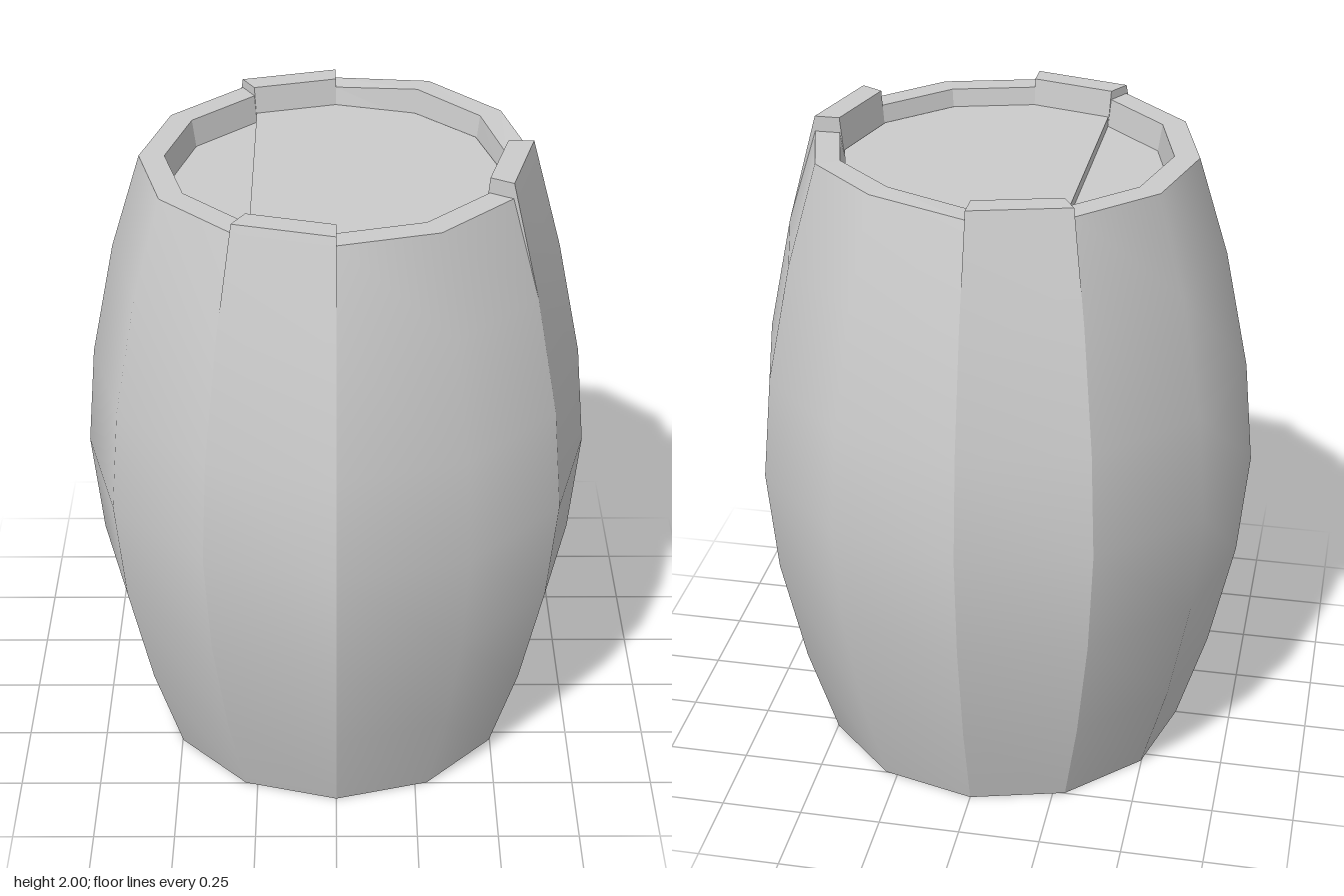
import * as THREE from 'three';

const material = new THREE.MeshStandardMaterial({ color: 0xcccccc, side: THREE.DoubleSide });
const flatMaterial = new THREE.MeshStandardMaterial({ color: 0xcccccc, side: THREE.DoubleSide, flatShading: true });
const R_IN = 0.5, R_LID = 0.487, RIM = 0.575;
const LID_TOP = 1.9, LID_LOW = 1.87, BASE = 0.05;

// bulging side, from the bottom edge to just under the top edge
const BULGE = [[RIM, 0], [0.667, 0.3], [0.742, 0.65], [0.772, 0.98], [0.742, 1.3], [0.667, 1.66]];

// groups of staves: start angle and the top height at each 30 degree step
const STAVES = [
  { start: 0, tops: [2, 2] },
  { start: 30, tops: [1.953, 1.953, 1.953] },
  { start: 90, tops: [1.98, 1.98] },
  { start: 120, tops: [1.953, 1.953, 1.953, 1.953, 1.953] },
  { start: 240, tops: [1.98, 1.98] },
  { start: 270, tops: [1.953, 1.974, 1.967, 1.953] },
];

const polar = (r, y, degrees) => {
  const a = THREE.MathUtils.degToRad(degrees);
  return [r * Math.cos(a), y, r * Math.sin(a)];
};

// surface swept around the axis; profileAt(top) gives [radius, height] pairs
function sweep({ start, tops }, profileAt) {
  const positions = [], index = [];
  const rows = profileAt(tops[0]).length;
  tops.forEach((top, j) => {
    for (const [r, y] of profileAt(top)) positions.push(...polar(r, y, start + 30 * j));
  });
  for (let j = 0; j < tops.length - 1; j++) {
    for (let i = 0; i < rows - 1; i++) {
      const a = j * rows + i, b = a + rows;
      index.push(a, a + 1, b + 1, a, b + 1, b);
    }
  }
  const geometry = new THREE.BufferGeometry();
  geometry.setAttribute('position', new THREE.Float32BufferAttribute(positions, 3));
  geometry.setIndex(index);
  geometry.computeVertexNormals();
  return geometry;
}

// end face of a raised stave, in the radial plane
function staveEnd(top, degrees) {
  const corners = [[0.667, 1.66], [RIM, top], [R_IN, top], [R_LID, LID_LOW]];
  const geometry = new THREE.BufferGeometry();
  geometry.setAttribute('position', new THREE.Float32BufferAttribute(
    corners.flatMap(([r, y]) => polar(r, y, degrees)), 3));
  geometry.setIndex([0, 1, 2, 0, 2, 3]);
  geometry.computeVertexNormals();
  return geometry;
}

// flat board bounded by the 12-sided inner wall between two angles
function board(from, to, bottom, top) {
  const points = [];
  for (let d = from; d <= to; d += 30) {
    const [x, , z] = polar(R_LID, 0, d);
    points.push(new THREE.Vector2(x, z));
  }
  const geometry = new THREE.ExtrudeGeometry(new THREE.Shape(points), { depth: top - bottom, bevelEnabled: false });
  geometry.rotateX(-Math.PI / 2);
  geometry.translate(0, bottom, 0);
  return geometry;
}

export function createModel() {
  const model = new THREE.Group();
  model.name = 'barrel';
  const add = (name, geometry, mat, parent = model) => {
    const mesh = new THREE.Mesh(geometry, mat);
    mesh.name = name;
    parent.add(mesh);
  };

  // staves: smooth outside, flat rims at top and bottom
  for (const stave of STAVES) {
    const group = new THREE.Group();
    group.name = 'staveGroup';
    model.add(group);
    add('staveSide', sweep(stave, top => [...BULGE, [RIM, top]]), material, group);
    add('topRim', sweep(stave, top => [[RIM, top], [R_IN, top], [R_LID, LID_LOW]]), flatMaterial, group);
    add('bottomRim', sweep(stave, () => [[R_LID, BASE], [R_IN, 0], [RIM, 0]]), flatMaterial, group);
    if (stave.tops.length === 2) {
      stave.tops.forEach((top, j) => add('staveEnd', staveEnd(top, stave.start + 30 * j), flatMaterial, group));
    }
  }

  // lid in two boards, one set slightly lower, and the recessed base
  add('lidBoard', board(-120, 120, LID_LOW - 0.02, LID_TOP), flatMaterial);
  add('loweredLidBoard', board(120, 240, LID_LOW - 0.02, LID_LOW), flatMaterial);
  add('base', board(0, 330, BASE, BASE + 0.03), flatMaterial);
  return model;
}
